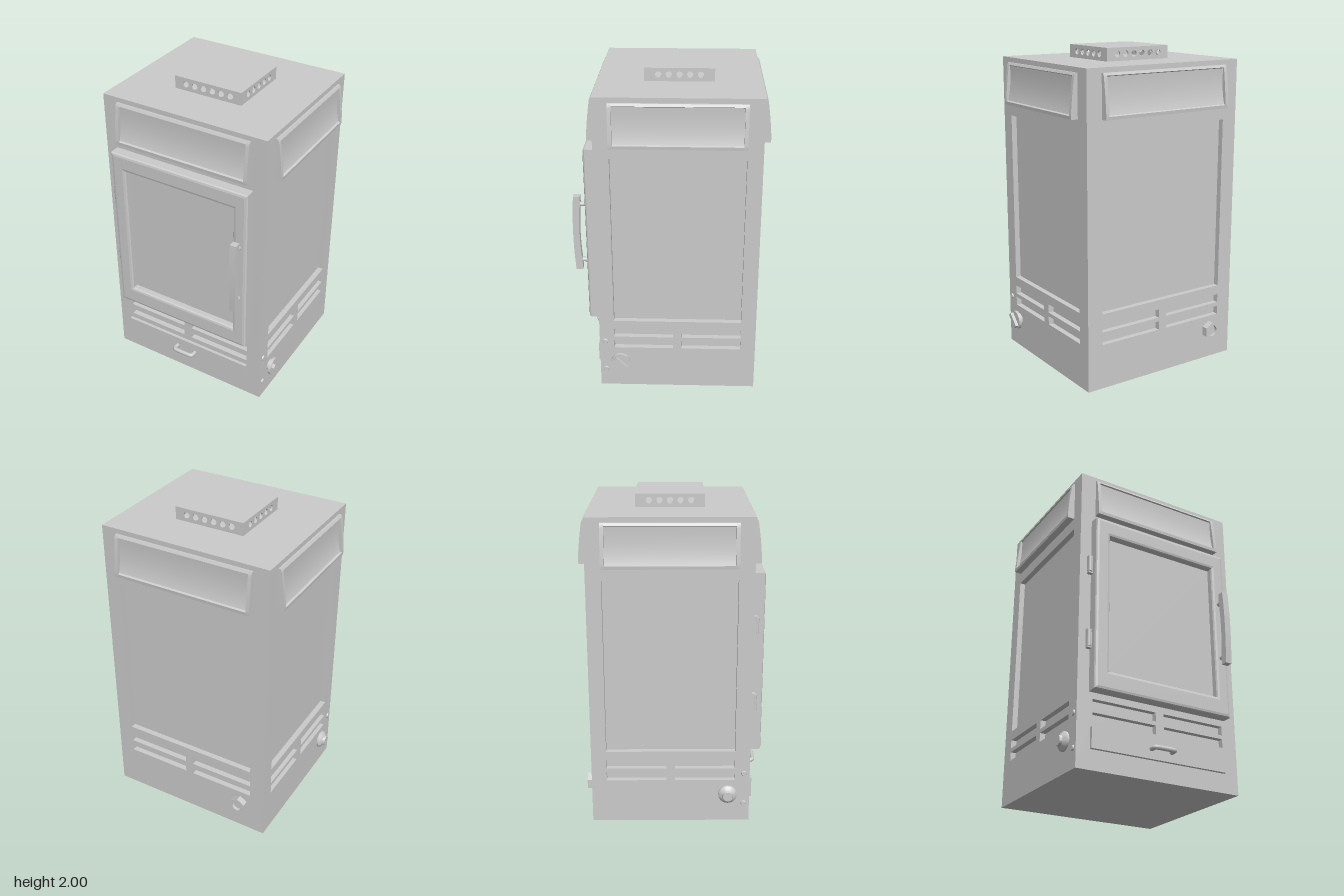
import * as THREE from 'three';
import { toCreasedNormals } from 'three/addons/utils/BufferGeometryUtils.js';

const CX = -0.0075, CZ = -0.0525; // cabinet centre
const HW = 0.5475, HD = 0.4875, H = 1.92; // half width, half depth, height
const T = 0.035; // wall plate thickness, the depth of panels and vents
const material = new THREE.MeshStandardMaterial({ color: 0xcccccc });

function add(parent, name, geometry, x = 0, y = 0, z = 0) {
  const mesh = new THREE.Mesh(geometry, material);
  mesh.name = name;
  mesh.position.set(x, y, z);
  parent.add(mesh);
  return mesh;
}

const box = (w, h, d) => new THREE.BoxGeometry(w, h, d);
// Cylinder whose axis points out of a face (along z), standing on z = 0
const disc = (r1, r2, h, n = 32) =>
  new THREE.CylinderGeometry(r2, r1, h, n).rotateX(Math.PI / 2).translate(0, 0, h / 2);

function rect(x0, x1, y0, y1, Type = THREE.Shape) {
  const s = new Type();
  s.moveTo(x0, y0);
  s.lineTo(x1, y0);
  s.lineTo(x1, y1);
  s.lineTo(x0, y1);
  s.closePath();
  return s;
}

function circle(x, y, r) {
  const p = new THREE.Path();
  p.absarc(x, y, r, 0, Math.PI * 2);
  return p;
}

const extrude = (shape, depth) =>
  new THREE.ExtrudeGeometry(shape, { depth, bevelEnabled: false, curveSegments: 16 });

// Extrudes a (z, y) side profile along x, centred on x = 0
function profileBar(shape, width) {
  const g = extrude(shape, width).rotateY(-Math.PI / 2).translate(width / 2, 0, 0);
  return toCreasedNormals(g, 0.5);
}

// Flared hood with a scooped panel between two end cheeks
function hood(face, half) {
  const outline = (scooped) => {
    const s = new THREE.Shape();
    s.moveTo(0, 1.63);
    s.lineTo(0.043, 1.63);
    s.lineTo(0.045, 1.65);
    if (scooped) {
      s.lineTo(0.032, 1.655);
      s.quadraticCurveTo(0.006, 1.74, 0.012, 1.87);
    } else s.quadraticCurveTo(0.038, 1.76, 0.02, 1.875);
    s.lineTo(0.02, 1.875);
    s.lineTo(0.012, 1.89);
    s.lineTo(0, 1.89);
    s.closePath();
    return s;
  };
  add(face, 'hoodPanel', profileBar(outline(true), 2 * half - 0.04));
  for (const s of [-1, 1]) add(face, 'hoodCheek', profileBar(outline(false), 0.022), s * (half - 0.011));
}

// One cabinet wall; its group lies on the surface with +z pointing outwards
function wall(root, name, angle, distance, plateHalf, half, hasPanel) {
  const face = new THREE.Group();
  face.name = name;
  face.rotation.y = angle;
  face.position.set(CX + Math.sin(angle) * distance, 0, CZ + Math.cos(angle) * distance);
  root.add(face);
  const plate = rect(-plateHalf, plateHalf, 0, H);
  if (hasPanel) plate.holes.push(rect(-half, half, 0.475, 1.555, THREE.Path));
  for (const y of [0.28, 0.36]) {
    plate.holes.push(rect(-half, -0.0275, y, y + 0.055, THREE.Path));
    plate.holes.push(rect(0.0275, half, y, y + 0.055, THREE.Path));
  }
  add(face, 'wallPlate', extrude(plate, T), 0, 0, -T);
  hood(face, half);
  return face;
}

function bolts(face, u) {
  for (const y of [0.12, 0.325]) add(face, 'bolt', disc(0.018, 0.014, 0.008, 16), u, y);
}

// Ring-shaped hexagonal pipe fitting
function fitting(face, u) {
  const hex = new THREE.Shape();
  for (let i = 0; i < 6; i++) {
    const a = (i * Math.PI) / 3 + Math.PI / 6;
    hex[i ? 'lineTo' : 'moveTo'](0.056 * Math.cos(a), 0.056 * Math.sin(a));
  }
  hex.closePath();
  hex.holes.push(circle(0, 0, 0.036));
  add(face, 'fittingNut', extrude(hex, 0.04), u, 0.19);
  add(face, 'fittingCore', disc(0.037, 0.037, 0.02), u, 0.19);
}

function door(root) {
  const g = new THREE.Group();
  g.name = 'door';
  root.add(g);
  const frame = rect(-0.48, 0.46, 0.455, 1.58);
  frame.holes.push(rect(-0.385, 0.37, 0.575, 1.47, THREE.Path));
  add(g, 'doorFrame', new THREE.ExtrudeGeometry(frame, {
    depth: 0.07, bevelThickness: 0.012, bevelSize: 0.018, bevelOffset: -0.018, bevelSegments: 2,
  }), 0, 0, 0.423);
  add(g, 'doorPane', box(0.8, 0.94, 0.03), -0.0075, 1.0225, 0.445);
  for (const y of [0.775, 1.265]) {
    add(g, 'hinge', box(0.03, 0.12, 0.025), -0.493, y, 0.4475);
    add(g, 'hingePin', new THREE.CylinderGeometry(0.012, 0.012, 0.1, 16), -0.497, y, 0.458);
  }
  // Bowed door handle on two posts
  const bow = new THREE.Shape();
  bow.moveTo(0.535, 0.78);
  bow.lineTo(0.575, 0.78);
  bow.quadraticCurveTo(0.595, 1.025, 0.575, 1.27);
  bow.lineTo(0.535, 1.27);
  bow.lineTo(0.535, 1.22);
  bow.quadraticCurveTo(0.555, 1.025, 0.535, 0.83);
  bow.closePath();
  add(g, 'doorHandle', profileBar(bow, 0.042), 0.413);
  for (const y of [0.84, 1.215]) add(g, 'handlePost', disc(0.014, 0.014, 0.05, 16), 0.413, y, 0.495);
}

function drawer(root) {
  add(root, 'ashDrawer', box(0.91, 0.125, 0.03), -0.0125, 0.1825, 0.44);
  const path = new THREE.CatmullRomCurve3([
    [-0.08, 0.45], [-0.08, 0.485], [-0.065, 0.497], [0.04, 0.497], [0.055, 0.485], [0.055, 0.45],
  ].map(([x, z]) => new THREE.Vector3(x, 0.18, z)), false, 'catmullrom', 0.3);
  add(root, 'drawerHandle', new THREE.TubeGeometry(path, 40, 0.014, 12));
}

// Hollow perforated outlet on the roof
function outlet(root) {
  const g = new THREE.Group();
  g.name = 'roofOutlet';
  g.position.set(-0.01, H, CZ);
  root.add(g);
  const hw = 0.225, hd = 0.2075, t = 0.01;
  const plate = (half, count, step) => {
    const s = rect(-half, half, 0, 0.07);
    for (let i = 0; i < count; i++) s.holes.push(circle((i - (count - 1) / 2) * step, 0.04, 0.019));
    return extrude(s, t);
  };
  for (const s of [-1, 1]) {
    add(g, 'outletWall', plate(hw, 6, 0.06), 0, 0, s * (hd - t / 2) - t / 2);
    add(g, 'outletSideWall', plate(hd - t, 5, 0.0625).rotateY(Math.PI / 2), s * (hw - t / 2) - t / 2);
  }
  add(g, 'outletLid', box(2 * hw, 0.01, 2 * hd), 0, 0.075, 0);
}

export function createModel() {
  const root = new THREE.Group();
  root.name = 'stove';

  // Cabinet: a core with cut-out plates on its four sides
  add(root, 'cabinetCore', box(2 * (HW - T), H, 2 * (HD - T)), CX, H / 2, CZ);
  wall(root, 'frontWall', 0, HD, HW, 0.4475, false);
  const back = wall(root, 'backWall', Math.PI, HD, HW, 0.4475, true);
  const left = wall(root, 'leftWall', Math.PI / 2, HW, HD - T, 0.395, true);
  const right = wall(root, 'rightWall', -Math.PI / 2, HW, HD - T, 0.395, true);

  bolts(left, -0.4525);
  bolts(right, 0.4525);
  fitting(back, 0.3775);

  // Dial with a slanted grip
  add(left, 'dialNeck', disc(0.04, 0.04, 0.02), -0.3575, 0.19);
  add(left, 'dial', disc(0.06, 0.06, 0.018), -0.3575, 0.19, 0.018);
  add(left, 'dialGrip', box(0.1, 0.03, 0.022), -0.3575, 0.19, 0.046).rotation.z = -Math.PI / 4;

  // Domed cap
  const cap = [[0.058, 0], [0.058, 0.012], [0.048, 0.022], [0.034, 0.03], [0.03, 0.045], [0, 0.045]];
  const capGeometry = new THREE.LatheGeometry(cap.map(([r, y]) => new THREE.Vector2(r, y)), 32);
  add(right, 'cap', toCreasedNormals(capGeometry.rotateX(Math.PI / 2), 0.5), 0.3525, 0.185);

  door(root);
  drawer(root);
  outlet(root);
  return root;
}
